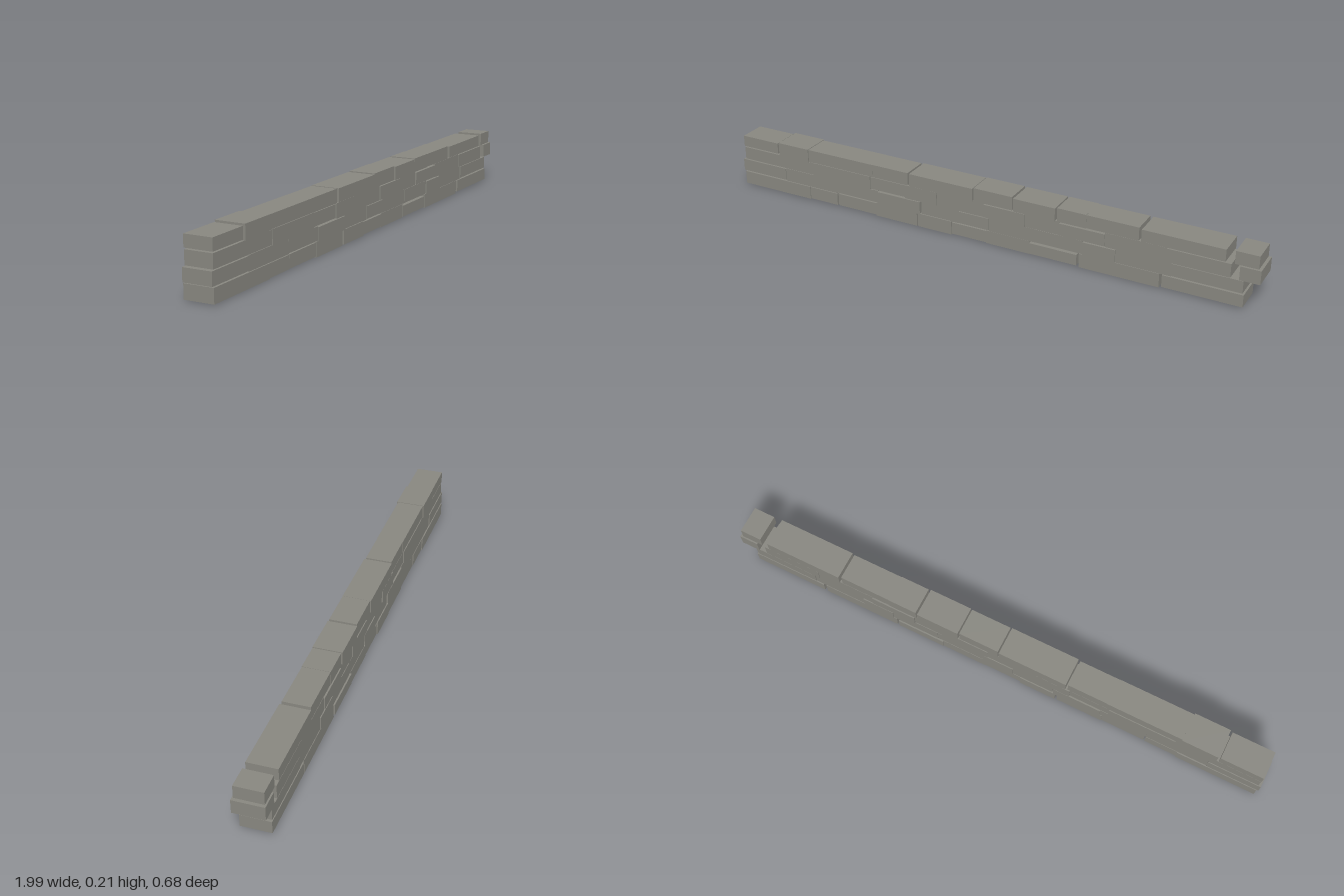
import * as THREE from 'three';

// Each stone: [start, end, bottom, top, depth], measured along the wall
const courses = {
  bottomCourse: [
    [-1.02, -0.72, 0.002, 0.052, 0.107], [-0.72, -0.6, 0.003, 0.05, 0.1],
    [-0.595, -0.43, 0.003, 0.05, 0.096], [-0.43, -0.255, 0, 0.052, 0.1],
    [-0.248, -0.11, 0.002, 0.054, 0.106], [-0.11, 0.03, 0.004, 0.049, 0.098],
    [0.03, 0.2, 0.002, 0.052, 0.1], [0.2, 0.38, 0.005, 0.046, 0.106],
    [0.388, 0.68, 0, 0.052, 0.102], [0.69, 0.97, 0.006, 0.051, 0.106],
  ],
  secondCourse: [
    [-1.026, -0.83, 0.056, 0.102, 0.104], [-0.83, -0.6, 0.052, 0.103, 0.098],
    [-0.6, -0.42, 0.055, 0.103, 0.1], [-0.42, -0.24, 0.052, 0.1, 0.106],
    [-0.235, -0.08, 0.053, 0.103, 0.098], [-0.08, 0.04, 0.056, 0.101, 0.104],
    [0.04, 0.22, 0.052, 0.103, 0.097], [0.22, 0.4, 0.053, 0.103, 0.1],
    [0.4, 0.52, 0.053, 0.1, 0.106], [0.52, 0.72, 0.052, 0.103, 0.098],
    [0.72, 0.965, 0.056, 0.101, 0.104],
  ],
  thirdCourse: [
    [-1.016, -0.7, 0.105, 0.153, 0.1], [-0.7, -0.45, 0.103, 0.155, 0.106],
    [-0.45, -0.3, 0.105, 0.152, 0.098], [-0.3, -0.17, 0.103, 0.155, 0.106],
    [-0.17, 0.02, 0.102, 0.155, 0.098], [0.02, 0.18, 0.103, 0.152, 0.104],
    [0.18, 0.31, 0.103, 0.155, 0.096], [0.31, 0.48, 0.105, 0.15, 0.106],
    [0.48, 0.7, 0.102, 0.155, 0.1], [0.7, 0.92, 0.103, 0.153, 0.104],
    [0.95, 1.02, 0.104, 0.154, 0.11],
  ],
  topCourse: [
    [-1.017, -0.86, 0.158, 0.2, 0.102], [-0.852, -0.72, 0.152, 0.205, 0.108],
    [-0.72, -0.44, 0.154, 0.203, 0.1], [-0.44, -0.29, 0.154, 0.203, 0.098],
    [-0.282, -0.025, 0.154, 0.203, 0.105], [-0.02, 0.13, 0.155, 0.206, 0.1],
    [0.136, 0.295, 0.154, 0.203, 0.106], [0.302, 0.41, 0.154, 0.205, 0.1],
    [0.41, 0.6, 0.155, 0.204, 0.098], [0.61, 0.9, 0.157, 0.201, 0.106],
    [0.93, 1.01, 0.156, 0.203, 0.1],
  ],
};

export function createModel() {
  const stone = new THREE.MeshStandardMaterial({ color: 0x87867f });
  stone.name = 'grey stone';

  const wall = new THREE.Group();
  wall.name = 'stoneWall';
  for (const [name, stones] of Object.entries(courses)) {
    const course = new THREE.Group();
    course.name = name;
    for (const [start, end, bottom, top, depth] of stones) {
      const block = new THREE.Mesh(new THREE.BoxGeometry(end - start, top - bottom, depth), stone);
      block.name = 'stone';
      block.position.set((start + end) / 2, (bottom + top) / 2, 0);
      course.add(block);
    }
    wall.add(course);
  }

  // The wall runs diagonally across the frame
  wall.rotation.y = 0.285;
  const model = new THREE.Group();
  model.name = 'model';
  model.add(wall);
  return model;
}
